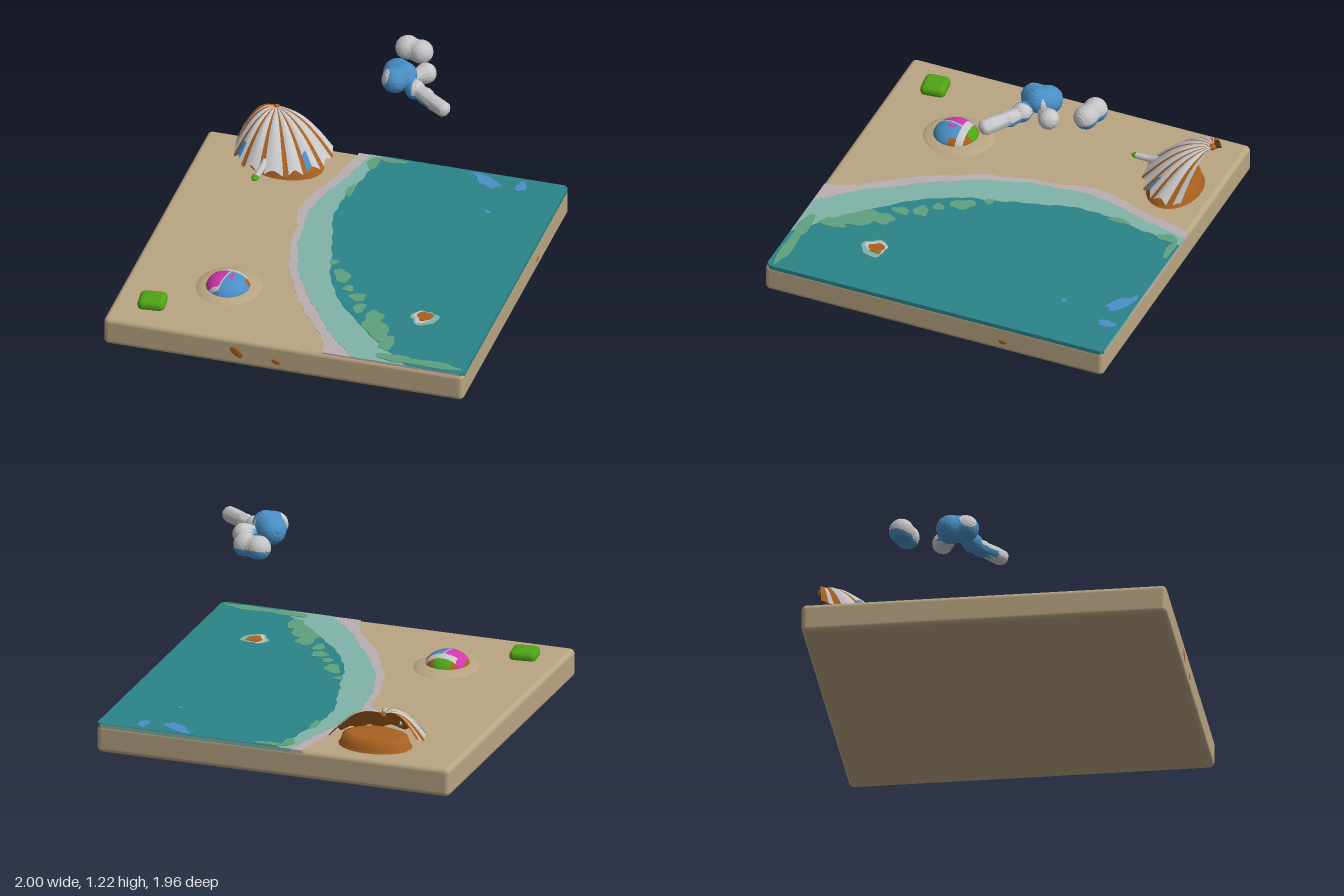
import * as THREE from 'three';
import { mergeVertices } from 'three/addons/utils/BufferGeometryUtils.js';
import { RoundedBoxGeometry } from 'three/addons/geometries/RoundedBoxGeometry.js';

const mat = (name, color) => Object.assign(new THREE.MeshStandardMaterial({ color }), { name });
const V = (x, y, z) => new THREE.Vector3(x, y, z);

export function createModel() {
  const model = new THREE.Group();
  const sand = mat('sand', 0xb9a582), foam = mat('foam', 0xb9aeb0), shallow = mat('shallow water', 0x7fb3a8);
  const water = mat('deep water', 0x2a8488), moss = mat('sea moss', 0x5fa07f), blue = mat('sky blue', 0x4a8fc6);
  const white = mat('off white', 0xc6c6c8), brown = mat('burnt orange', 0xa8601f);
  const green = mat('leaf green', 0x4fa314), magenta = mat('magenta', 0xd436b2);

  const add = (name, geometry, material, x = 0, y = 0, z = 0, parent = model) => {
    const mesh = new THREE.Mesh(geometry, material);
    mesh.name = name;
    mesh.position.set(x, y, z);
    parent.add(mesh);
    return mesh;
  };

  // Sorts triangles into material groups by the index returned for each centre
  const paint = (geo, count, pick) => {
    const idx = geo.index.array, p = geo.attributes.position, bins = Array.from({ length: count }, () => []);
    for (let i = 0; i < idx.length; i += 3) {
      const c = V(0, 0, 0);
      for (let k = 0; k < 3; k++) c.add(V().fromBufferAttribute(p, idx[i + k]));
      bins[pick(c.divideScalar(3))].push(idx[i], idx[i + 1], idx[i + 2]);
    }
    geo.setIndex(bins.flat());
    let start = 0;
    bins.forEach((b, i) => { geo.addGroup(start, b.length, i); start += b.length; });
    return geo;
  };

  const ball = (detail) => {
    const g = new THREE.IcosahedronGeometry(1, detail);
    g.deleteAttribute('normal');
    g.deleteAttribute('uv');
    return mergeVertices(g);
  };

  // Sand slab
  add('sandSlab', new RoundedBoxGeometry(2, 0.161, 1.96, 4, 0.028), sand, 0, 0.0855, 0);

  // Shore layers: each runs from a wavy shoreline to the right edge
  const zs = [-0.98, -0.8, -0.6, -0.4, -0.2, 0, 0.2, 0.4, 0.6, 0.8, 0.97];
  const shore = (name, xs, top, material) => {
    const line = new THREE.SplineCurve(zs.map((z, i) => new THREE.Vector2(xs[i], -z))).getPoints(90);
    line.forEach((p, i) => { p.x += 0.008 * Math.sin(i * 0.9) * Math.sin(i * 0.37 + 1); });
    const edge = 0.998 + (top - 0.168) * 0.4;
    const s = new THREE.Shape([...line, new THREE.Vector2(edge - 0.02, -0.972),
      new THREE.Vector2(edge, -0.95), new THREE.Vector2(edge, 0.96), new THREE.Vector2(edge - 0.02, 0.98)]);
    const g = new THREE.ExtrudeGeometry(s, { depth: top - 0.148, bevelEnabled: false });
    add(name, g.rotateX(-Math.PI / 2), material, 0, 0.148, 0);
  };
  shore('foamBand', [-0.17, -0.2, -0.26, -0.315, -0.28, -0.25, -0.2, -0.11, 0, 0.15, 0.22], 0.168, foam);
  shore('shallowBand', [-0.1, -0.14, -0.2, -0.25, -0.24, -0.21, -0.15, -0.05, 0.08, 0.22, 0.38], 0.17, shallow);
  shore('deepWater', [-0.03, -0.06, -0.1, -0.12, -0.08, -0.02, 0.03, 0.12, 0.28, 0.48, 0.68], 0.172, water);

  // Thin irregular patches lying on the water: x, z, radius x, radius z, turn
  const patch = (name, material, y, [x, z, rx, rz, turn = 0]) => {
    const pts = Array.from({ length: 28 }, (_, i) => {
      const a = i / 28 * Math.PI * 2, r = 1 + 0.12 * Math.sin(3 * a + x * 20) + 0.08 * Math.sin(5 * a + z * 9);
      return new THREE.Vector2(Math.cos(a) * rx * r, Math.sin(a) * rz * r);
    });
    const g = new THREE.ExtrudeGeometry(new THREE.Shape(pts), { depth: 0.003, bevelEnabled: false });
    return add(name, g.rotateX(-Math.PI / 2).rotateY(turn), material, x, y, z);
  };
  [[0.02, 0.1, 0.025, 0.025], [0.1, 0.22, 0.04, 0.07, 0.5], [0.17, 0.33, 0.03, 0.03], [0.24, 0.4, 0.045, 0.04],
    [0.28, 0.5, 0.03, 0.05], [0.38, 0.56, 0.05, 0.06], [0.43, 0.68, 0.12, 0.06, -0.9], [0.52, 0.79, 0.04, 0.07],
    [0.8, 0.925, 0.17, 0.03], [0.6, 0.92, 0.1, 0.035], [-0.06, -0.9, 0.03, 0.06], [0.03, -0.95, 0.08, 0.02],
    [-0.1, -0.6, 0.02, 0.06]].forEach(p => patch('mossPatch', moss, 0.171, p));
  [[0.57, -0.9, 0.09, 0.04, -0.6], [0.76, -0.9, 0.028, 0.05], [0.5, -0.95, 0.03, 0.014], [0.66, -0.61, 0.018, 0.014]]
    .forEach(p => patch('bluePatch', blue, 0.171, p));

  // Small floating star shape
  patch('floatRipple', shallow, 0.1715, [0.64, 0.5, 0.075, 0.065]);
  patch('floatRim', white, 0.174, [0.63, 0.49, 0.05, 0.06]);
  patch('floatCentre', brown, 0.177, [0.64, 0.485, 0.042, 0.042]);

  // Stains on the slab sides
  [[-0.26, 0.088, 0.045, 0.022, -0.7], [-0.04, 0.067, 0.026, 0.014, -0.3]].forEach(([x, y, rx, ry, turn]) => {
    const s = add('frontStain', new THREE.SphereGeometry(1, 16, 8), brown, x, y, 0.979);
    s.scale.set(rx, ry, 0.004);
    s.rotation.z = turn;
  });
  add('sideStain', new THREE.SphereGeometry(1, 16, 8), brown, 0.999, 0.066, -0.4).scale.set(0.004, 0.014, 0.026);

  // Parasol canopy: a half dome fanned from the apex to a curved rim
  const apex = V(-0.61, 0.42, -0.93);
  const rim = new THREE.CatmullRomCurve3([V(-0.79, 0.27, -0.9), V(-0.78, 0.24, -0.72), V(-0.72, 0.23, -0.63),
    V(-0.6, 0.22, -0.57), V(-0.45, 0.22, -0.59), V(-0.35, 0.22, -0.65), V(-0.28, 0.23, -0.74), V(-0.27, 0.235, -0.88)]);
  const NU = 96, NT = 16, ribs = 8;
  const canopy = (drop, inside) => {
    const pos = [], idx = [[], [], []];
    for (let i = 0; i <= NU; i++) {
      const u = i / NU, end = rim.getPoint(u), wave = Math.cos(u * ribs * Math.PI * 2);
      for (let j = 0; j <= NT; j++) {
        const t = j / NT, p = apex.clone().lerp(end, t * (1 - 0.025 * wave * t));
        pos.push(p.x, p.y + 0.055 * Math.sin(Math.PI * t) + 0.008 * wave * t - drop, p.z);
        if (i === NU || j === NT) continue;
        const a = i * (NT + 1) + j, c = a + NT + 1, f = (u * ribs) % 1;
        const stripe = (f >= 0.36 && f < 0.62) || j === 0 || u < 0.03;
        const bluish = j > 12 && ((u > 0.2 && u < 0.27) || (u > 0.68 && u < 0.75));
        const bin = idx[inside || stripe ? 1 : bluish ? 2 : 0];
        bin.push(...(inside ? [a, c, a + 1, a + 1, c, c + 1] : [a, a + 1, c, a + 1, c + 1, c]));
      }
    }
    const g = new THREE.BufferGeometry();
    g.setAttribute('position', new THREE.Float32BufferAttribute(pos, 3));
    g.setIndex(idx.flat());
    let start = 0;
    idx.forEach((b, k) => { g.addGroup(start, b.length, k); start += b.length; });
    g.computeVertexNormals();
    return g;
  };
  add('parasolCanopy', canopy(0, false), [white, brown, blue]);
  add('parasolLining', canopy(0.012, true), [white, brown, blue]);
  add('parasolTip', new THREE.SphereGeometry(0.018, 16, 12), brown, -0.605, 0.41, -0.925);

  // Base under the canopy, handle and its green end
  const base = [[0, 0.07], [0.14, 0.07], [0.18, 0.055], [0.19, 0.02], [0.205, 0]].reverse();
  add('parasolBase', new THREE.LatheGeometry(base.map(p => new THREE.Vector2(...p)), 40), brown, -0.5, 0.164, -0.755)
    .scale.set(1, 1, 0.72);
  const handle = new THREE.CatmullRomCurve3([V(-0.58, 0.26, -0.64), V(-0.585, 0.24, -0.57), V(-0.59, 0.235, -0.49)]);
  add('parasolHandle', new THREE.TubeGeometry(handle, 12, 0.018, 10), white);
  add('handleEnd', new THREE.SphereGeometry(1, 16, 12), green, -0.595, 0.232, -0.495).scale.set(0.022, 0.014, 0.035);

  // Half-buried beach ball in a low sand mound
  add('ballMound', new THREE.SphereGeometry(1, 32, 16), sand, -0.45, 0.158, 0.48).scale.set(0.18, 0.033, 0.2);
  const beach = paint(ball(30), 5, ({ x, z }) => {
    if (z < -0.62) return x > -0.45 && x < 0.35 ? 4 : 3;
    if (z < -0.32 && x > -0.6) return 2;
    if (x < -0.88 || (x > 0.75 && z < 0)) return 3;
    if (x < -0.05 - 0.25 * z && z < 0.7) return 0;
    if (x > 0.15 && x < 0.5 && z < 0.3 && z > -0.1) return x < 0.28 ? 0 : 1;
    return x < 0.02 - 0.25 * z && z < 0.85 ? 2 : 1;
  });
  beach.scale(0.12, 0.085, 0.125).computeVertexNormals();
  add('beachBall', beach, [magenta, blue, white, brown, green], -0.45, 0.166, 0.495);

  // Green bucket-like lump
  add('greenLump', new RoundedBoxGeometry(0.148, 0.065, 0.14, 4, 0.03), green, -0.79, 0.182, 0.762).rotation.y = 0.12;

  // Clouds: a smooth skin around soft spheres [x, y, z, radius], flattened below
  const cloud = (name, centre, blobs, floor, pick) => {
    const g = ball(28), p = g.attributes.position;
    const inside = (v) => blobs.reduce((s, [x, y, z, r]) =>
      s + Math.exp(-4 * (v.distanceToSquared(V(x, y, z)) / (r * r) - 1)), 0) > 1;
    for (let i = 0; i < p.count; i++) {
      const dir = V().fromBufferAttribute(p, i).normalize();
      let r = 0.5;
      while (r > 0.01 && !inside(centre.clone().addScaledVector(dir, r))) r -= 0.004;
      const v = centre.clone().addScaledVector(dir, r);
      if (v.y < floor) v.y = floor - (floor - v.y) * 0.15;
      p.setXYZ(i, v.x, v.y, v.z);
    }
    g.computeVertexNormals();
    add(name, paint(g, 2, pick), [white, blue]);
  };
  cloud('largeCloud', V(0.29, 1.12, -0.3), [[0.24, 1.14, -0.34, 0.078], [0.25, 1.145, -0.26, 0.072], [0.29, 1.16, -0.3, 0.07],
    [0.38, 1.125, -0.4, 0.058], [0.37, 1.115, -0.24, 0.055], [0.44, 1.11, -0.2, 0.048], [0.5, 1.11, -0.15, 0.045],
    [0.555, 1.11, -0.115, 0.046]], 1.068, ({ x, y, z }) => {
    if (z < -0.34 && x > 0.325) return 0;
    if (Math.hypot(x - 0.18, y - 1.18, z + 0.23) < 0.055) return 0;
    return x < 0.36 || (x < 0.48 && y < 1.11) ? 1 : 0;
  });
  cloud('smallCloud', V(0.26, 1.13, -0.59), [[0.22, 1.135, -0.6, 0.068], [0.3, 1.135, -0.58, 0.066]], 1.085,
    ({ y, z }) => (y < 1.115 - 0.3 * (z + 0.59) ? 1 : 0));

  return model;
}
